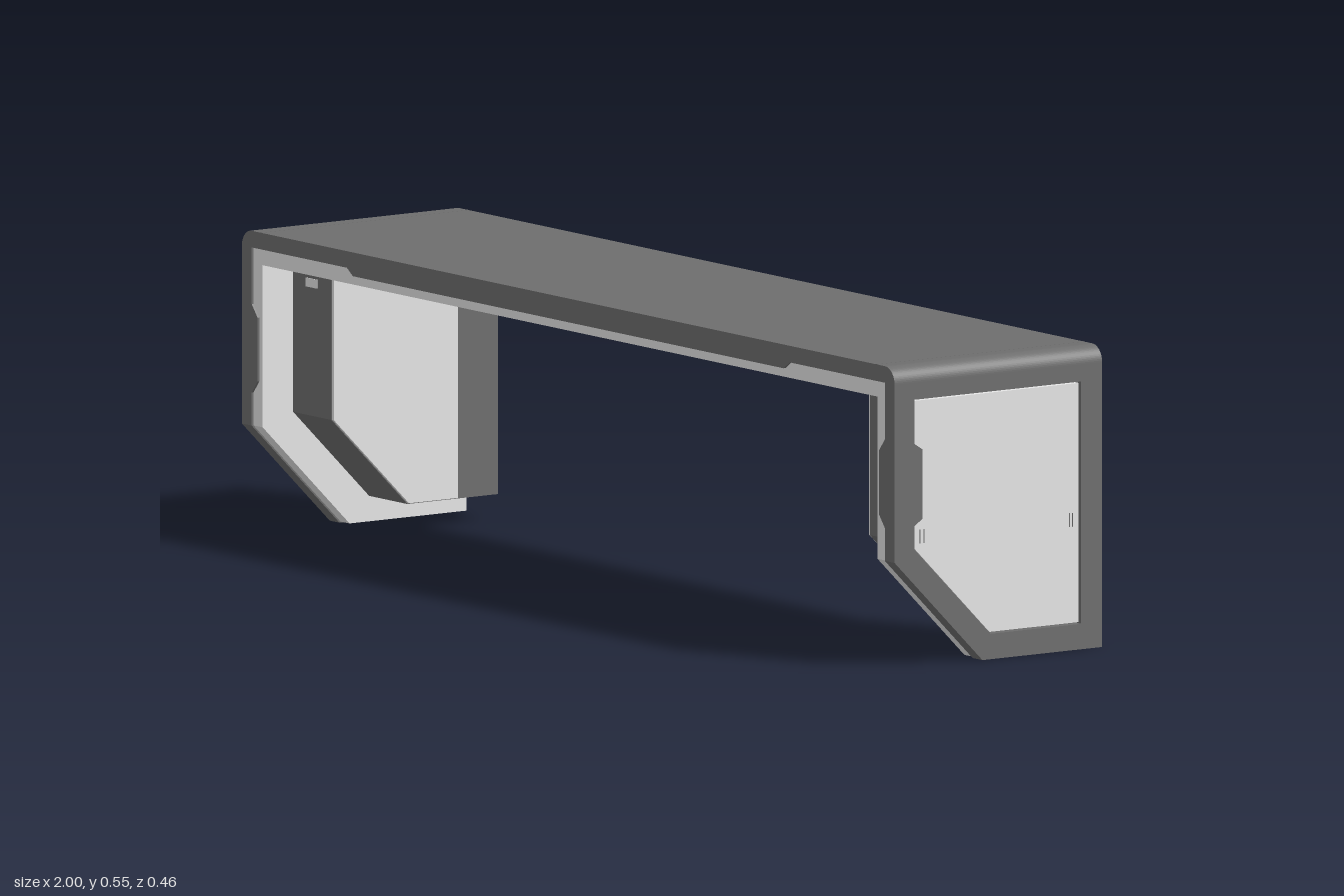
import * as THREE from 'three';

const dark = new THREE.MeshStandardMaterial({ color: 0x6e6e6e });
dark.name = 'dark grey shell';
const light = new THREE.MeshStandardMaterial({ color: 0xe6e6e6 });
light.name = 'light grey trim';

// Outlines of the end pieces, as (z, y) points
const SHELL = [[0.228, 0.515], [-0.228, 0.515], [-0.228, 0], [0.035, 0], [0.228, 0.193]];
const LINER = [[0.224, 0.515], [-0.224, 0.515], [-0.224, 0.002], [0.033, 0.002], [0.224, 0.193]];
const OPENING = [[0.184, 0.484], [-0.182, 0.484], [-0.182, 0.046], [0.017, 0.046], [0.184, 0.213],
  [0.184, 0.256], [0.167, 0.267], [0.167, 0.393], [0.184, 0.404]];
const PANEL = OPENING.map(([z, y]) => [z * 0.985, 0.265 + (y - 0.265) * 0.987]);
const POD = [[0.157, 0.49], [-0.209, 0.49], [-0.209, 0.048], [-0.01, 0.048], [0.157, 0.215]];
const POD_COVER = [[0.155, 0.486], [-0.118, 0.486], [-0.118, 0.05], [-0.01, 0.05], [0.155, 0.215]];

const toPoints = (list) => list.map(([a, b]) => new THREE.Vector2(a, b));

function add(parent, name, geometry, material, x = 0, y = 0, z = 0) {
  const mesh = new THREE.Mesh(geometry, material);
  mesh.name = name;
  mesh.position.set(x, y, z);
  parent.add(mesh);
}

// Slab with a (z, y) outline between two distances from the centre, on one side
function slab(parent, name, outline, x0, x1, side, material, hole) {
  const shape = new THREE.Shape(toPoints(outline));
  if (hole) shape.holes.push(new THREE.Path(toPoints(hole)));
  const geometry = new THREE.ExtrudeGeometry(shape, { depth: x1 - x0, bevelEnabled: false });
  geometry.rotateY(-Math.PI / 2);
  add(parent, name, geometry, material, side > 0 ? x1 : -x0);
}

// Plate with an (x, y) outline between two z values
function plate(parent, name, shape, z0, z1, material) {
  const geometry = new THREE.ExtrudeGeometry(shape, { depth: z1 - z0, bevelEnabled: false, curveSegments: 8 });
  add(parent, name, geometry, material, 0, 0, z0);
}

function box(parent, name, size, position, material) {
  add(parent, name, new THREE.BoxGeometry(...size), material, ...position);
}

export function createModel() {
  const model = new THREE.Group();
  model.name = 'bridge stand';

  // Top deck with rounded outer corners
  const deck = new THREE.Shape();
  deck.moveTo(-1, 0.515);
  deck.lineTo(1, 0.515);
  deck.absarc(0.97, 0.515, 0.03, 0, Math.PI / 2, false);
  deck.absarc(-0.97, 0.515, 0.03, Math.PI / 2, Math.PI, false);
  plate(model, 'topDeck', deck, -0.228, 0.228, dark);

  // Light layer lining the underside of the deck
  box(model, 'deckLiner', [1.94, 0.03, 0.448], [0, 0.501, 0], light);

  // Long lip along the front edge
  const lip = new THREE.Shape(toPoints([[-0.68, 0.516], [-0.66, 0.502], [0.66, 0.502], [0.68, 0.516]]));
  plate(model, 'frontLip', lip, 0.21, 0.228, dark);

  for (const side of [1, -1]) {
    const end = new THREE.Group();
    end.name = side > 0 ? 'leftEnd' : 'rightEnd';
    model.add(end);

    // Outer frame, recessed panel in a dark groove, and inner liner
    slab(end, 'endFrame', SHELL, 0.97, 1, side, dark, OPENING);
    slab(end, 'panelGroove', OPENING, 0.97, 0.985, side, dark);
    slab(end, 'sidePanel', PANEL, 0.985, 0.996, side, light);
    slab(end, 'endLiner', LINER, 0.942, 0.97, side, light);

    // Inner pod with its cover
    slab(end, 'innerPod', POD, 0.825, 0.942, side, dark);
    slab(end, 'podCover', POD_COVER, 0.82, 0.825, side, light);
    box(end, 'podTab', [0.035, 0.016, 0.002], [side * 0.885, 0.455, 0.1575], light);

    // Grip lip on the front edge
    const grip = new THREE.Shape(toPoints([[0.972, 0.25], [0.952, 0.275], [0.952, 0.39], [0.972, 0.415]]
      .map(([x, y]) => [side * x, y])));
    plate(end, 'gripLip', grip, 0.2, 0.228, dark);

    // Small slots on the side panel
    for (const z of [0.169, 0.161, -0.159, -0.166]) {
      box(end, 'panelSlot', [0.001, 0.025, 0.002], [side * 0.996, 0.235, z], dark);
    }

    // Joint strip across the deck
    box(end, 'deckJoint', [0.005, 0.002, 0.456], [side * 0.943, 0.5443, 0], dark);
  }

  return model;
}
